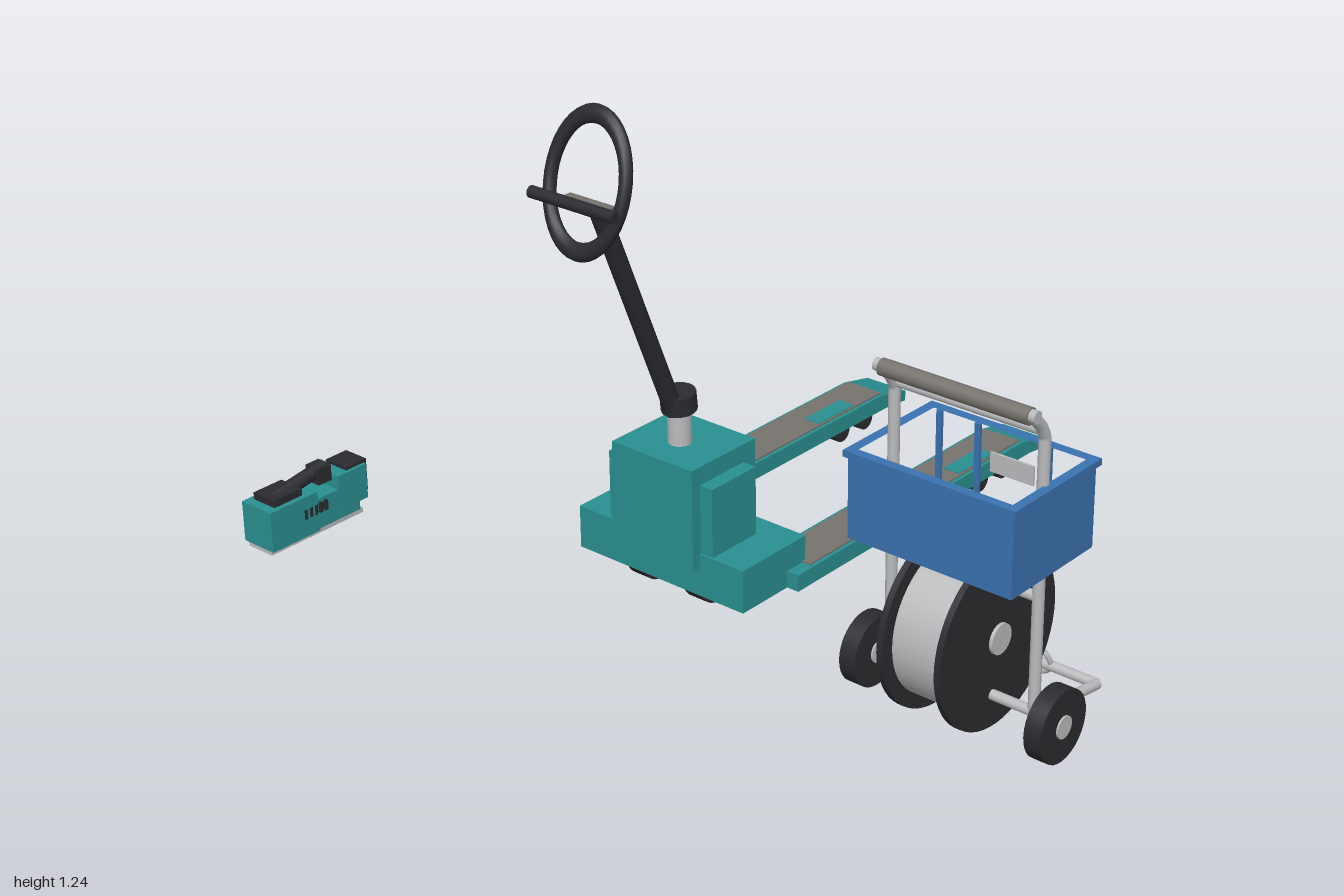
import * as THREE from 'three';

const mat = (color) => new THREE.MeshStandardMaterial({ color });
const TEAL = mat(0x2a8f90), BLUE = mat(0x3a72b0), DARK = mat(0x2b2b30);
const STEEL = mat(0xb9bbbd), GRIP = mat(0x77736e);
const V = (x, y, z) => new THREE.Vector3(x, y, z);

function add(parent, name, geometry, material, x = 0, y = 0, z = 0) {
  const m = new THREE.Mesh(geometry, material);
  m.name = name;
  m.position.set(x, y, z);
  parent.add(m);
  return m;
}

// box given by its min and max on each axis
function box(parent, name, material, x0, x1, y0, y1, z0, z1) {
  return add(parent, name, new THREE.BoxGeometry(x1 - x0, y1 - y0, z1 - z0), material,
    (x0 + x1) / 2, (y0 + y1) / 2, (z0 + z1) / 2);
}

// cylinder between two points
function rod(parent, name, material, a, b, r, sides = 16) {
  const m = add(parent, name, new THREE.CylinderGeometry(r, r, a.distanceTo(b), sides), material);
  m.position.copy(a).lerp(b, 0.5);
  m.quaternion.setFromUnitVectors(V(0, 1, 0), b.clone().sub(a).normalize());
  return m;
}

// disc with its axis along x
const disc = (parent, name, material, x0, x1, y, z, r, sides = 32) =>
  rod(parent, name, material, V(x0, y, z), V(x1, y, z), r, sides);

function group(parent, name) {
  const g = new THREE.Group();
  g.name = name;
  parent.add(g);
  return g;
}

function palletTruck(root) {
  const g = group(root, 'palletTruck');
  const cx = -0.108;

  // forks: side profile with a sloped tip, extruded across x
  const profile = new THREE.Shape([[-0.175, 0.05], [0.74, 0.05], [0.8, 0.042], [0.8, 0.07],
    [0.745, 0.082], [0.7, 0.092], [-0.175, 0.092]].map(([u, v]) => new THREE.Vector2(u, v)));
  for (const s of [-1, 1]) {
    const x = cx + s * 0.218;
    const fork = add(g, 'fork', new THREE.ExtrudeGeometry(profile, { depth: 0.125, bevelEnabled: false }), TEAL, x + 0.0625);
    fork.rotation.y = Math.PI / 2;
    fork.position.x = x - 0.0625;
    box(g, 'forkPad', GRIP, x - 0.053, x + 0.053, 0.085, 0.096, -0.705, 0.12);
    box(g, 'forkPatch', TEAL, x + 0.002, x + 0.048, 0.09, 0.098, -0.6, -0.46);
    for (const z of [-0.56, -0.655]) disc(g, 'forkRoller', DARK, x - 0.045, x + 0.045, 0.036, z, 0.028, 20);
    disc(g, 'driveWheel', DARK, cx + s * 0.087 - 0.027, cx + s * 0.087 + 0.027, 0.064, 0.26, 0.06);
  }

  // stepped housing
  box(g, 'base', TEAL, -0.357, 0.14, 0.05, 0.157, 0.11, 0.33);
  box(g, 'sideHousing', TEAL, -0.263, 0.048, 0.15, 0.328, 0.175, 0.325);
  box(g, 'frontHousing', TEAL, -0.228, 0.012, 0.12, 0.373, 0.135, 0.352);

  // steering column and tilted shaft
  rod(g, 'column', STEEL, V(cx, 0.37, 0.255), V(cx, 0.47, 0.255), 0.028);
  rod(g, 'pivotCollar', DARK, V(cx, 0.455, 0.255), V(cx, 0.5, 0.26), 0.042);
  rod(g, 'handleShaft', DARK, V(cx, 0.455, 0.272), V(cx, 1.005, 0.497), 0.022);

  // oval handle
  const ring = add(g, 'handleRing', new THREE.TorusGeometry(0.105, 0.015, 12, 40), DARK, cx, 1.079, 0.53);
  ring.scale.y = 1.41;
  ring.rotation.x = -0.265;
  disc(g, 'crossbar', DARK, -0.228, 0.014, 1.045, 0.577, 0.014, 14);
  box(g, 'controlPlate', GRIP, cx - 0.065, cx + 0.065, 1.02, 1.038, 0.515, 0.535);
}

function reelCart(root) {
  const g = group(root, 'reelCart');
  const cx = 0.735, zUp = 0.323;

  // wheels, bent uprights and foot tubes
  for (const s of [-1, 1]) {
    const xu = cx + s * 0.187, xw = cx + s * 0.24;
    disc(g, 'wheel', DARK, xw - 0.021, xw + 0.021, 0.092, zUp, 0.083);
    disc(g, 'wheelHub', STEEL, xw - 0.025, xw + 0.025, 0.092, zUp, 0.026);
    const path = new THREE.CurvePath();
    const pts = [V(xu, 0.09, zUp), V(xu, 0.735, zUp), V(xu, 0.76, zUp + 0.014), V(xu, 0.795, 0.37)];
    for (let i = 0; i < 3; i++) path.add(new THREE.LineCurve3(pts[i], pts[i + 1]));
    add(g, 'upright', new THREE.TubeGeometry(path, 60, 0.013, 12), STEEL);
    rod(g, 'footTube', STEEL, V(xu, 0.09, zUp), V(xu, 0.055, 0.085), 0.012);
  }
  const bar = (name, m, y, z, r, h = 0.187) => disc(g, name, m, cx - h, cx + h, y, z, r, 16);
  bar('handleBar', STEEL, 0.795, 0.37, 0.014, 0.2);
  bar('handleGrip', GRIP, 0.793, 0.37, 0.019, 0.185);
  bar('upperCrossbar', STEEL, 0.745, zUp, 0.012);
  bar('middleCrossbar', STEEL, 0.37, zUp, 0.012);
  bar('axle', STEEL, 0.1, zUp, 0.012, 0.24);
  bar('footBar', STEEL, 0.055, 0.085, 0.012);

  // rear support and ring
  rod(g, 'rearSupport', STEEL, V(cx + 0.03, 0.02, 0.083), V(cx + 0.03, 0.1, 0.083), 0.01);
  const eye = add(g, 'supportRing', new THREE.TorusGeometry(0.04, 0.006, 8, 28), STEEL, cx + 0.03, 0.065, 0.09);
  eye.rotation.x = 0.3;

  // cable reel
  const y = 0.227, z = 0.305;
  disc(g, 'reelDrum', STEEL, cx - 0.07, cx + 0.07, y, z, 0.172, 48);
  for (const s of [-1, 1]) {
    disc(g, 'reelFlange', DARK, cx + s * 0.066, cx + s * 0.081, y, z, 0.206, 56);
    disc(g, 'reelHub', STEEL, cx + s * 0.08, cx + s * 0.089, y, z, 0.035, 24);
  }

  // open crate: floor, tapered-free walls and rim
  const c = group(g, 'crate');
  const x0 = 0.528, x1 = 0.942, z0 = 0.162, z1 = 0.45, t = 0.012;
  box(c, 'crateFloor', BLUE, x0, x1, 0.425, 0.437, z0, z1);
  const frame = (name, o, w, yb, h) => {
    const s = new THREE.Shape([[x0 - o, z0 - o], [x1 + o, z0 - o], [x1 + o, z1 + o], [x0 - o, z1 + o]]
      .map((p) => new THREE.Vector2(p[0], -p[1])));
    const k = w - o;
    s.holes.push(new THREE.Path([[x0 + k, z0 + k], [x1 - k, z0 + k], [x1 - k, z1 - k], [x0 + k, z1 - k]]
      .map((p) => new THREE.Vector2(p[0], -p[1]))));
    const m = add(c, name, new THREE.ExtrudeGeometry(s, { depth: h, bevelEnabled: false }), BLUE, 0, yb, 0);
    m.rotation.x = -Math.PI / 2;
  };
  frame('crateWalls', 0, t, 0.425, 0.2);
  frame('crateRim', 0.008, 0.022, 0.613, 0.015);
  for (const u of [-0.19, -0.09, 0.09, 0.19])
    box(c, 'crateRib', BLUE, cx + u - 0.007, cx + u + 0.007, 0.43, 0.615, z0 - 0.007, z0);
  box(c, 'cratePlate', STEEL, cx - 0.055, cx + 0.055, 0.515, 0.56, z0 - 0.006, z0);
}

function powerTool(root) {
  const g = group(root, 'powerTool');
  const x0 = -1, x1 = -0.9, cx = -0.95;
  // base plate and body blocks
  box(g, 'soleplate', STEEL, x0 + 0.01, x1 - 0.01, 0.03, 0.042, 0.51, 0.797);
  box(g, 'frontBody', TEAL, x0, x1, 0.042, 0.145, 0.655, 0.8);
  box(g, 'middleBody', TEAL, x0 + 0.008, x1 - 0.008, 0.042, 0.12, 0.52, 0.66);
  box(g, 'rearBody', TEAL, x0 + 0.006, x1 - 0.006, 0.065, 0.155, 0.495, 0.585);
  box(g, 'rearCap', DARK, cx - 0.035, cx + 0.035, 0.08, 0.163, 0.486, 0.55);
  // side vents
  for (let i = 0; i < 5; i++) {
    const z = 0.625 + i * 0.016;
    box(g, 'vent', DARK, x0 - 0.0005, x1 + 0.0005, 0.087, 0.112, z, z + 0.009);
  }
  // top grip and lever
  rod(g, 'topGrip', DARK, V(cx, 0.145, 0.765), V(cx, 0.172, 0.59), 0.018, 12);
  box(g, 'gripFront', DARK, cx - 0.036, cx + 0.036, 0.135, 0.163, 0.69, 0.775);
  box(g, 'gripRear', DARK, cx - 0.022, cx + 0.022, 0.14, 0.182, 0.585, 0.625);
}

export function createModel() {
  const root = new THREE.Group();
  root.name = 'workshopEquipment';
  palletTruck(root);
  reelCart(root);
  powerTool(root);
  return root;
}
